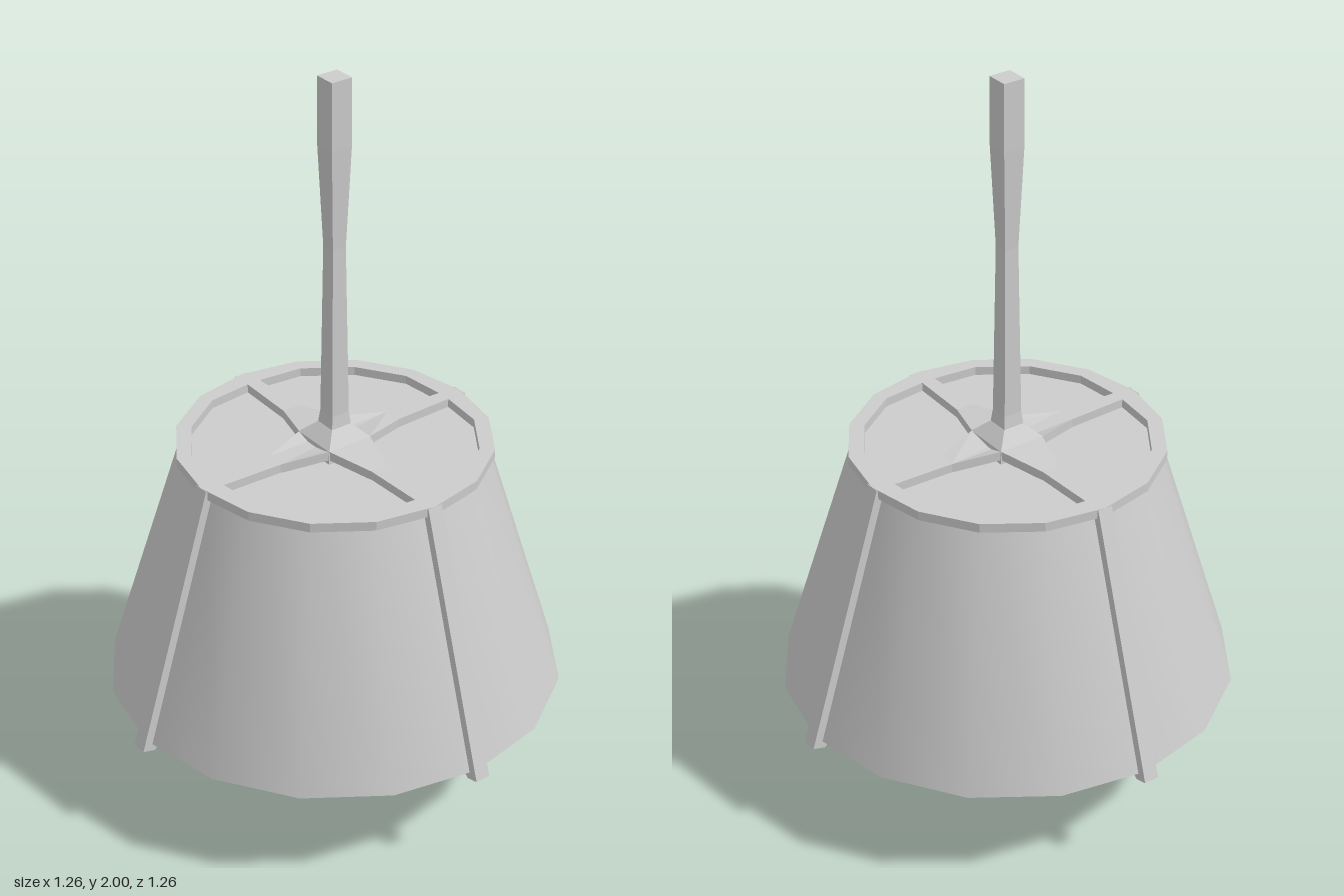
import * as THREE from 'three';
import { toCreasedNormals } from 'three/addons/utils/BufferGeometryUtils.js';

const SIDES = 16;
const smooth = new THREE.MeshStandardMaterial({ color: 0xcccccc });
const flat = new THREE.MeshStandardMaterial({ color: 0xcccccc, flatShading: true });
const vec = ([x, y]) => new THREE.Vector2(x, y);

function part(name, geometry, material) {
  const mesh = new THREE.Mesh(geometry, material);
  mesh.name = name;
  return mesh;
}

function ringPoints(radius, from, to) {
  const points = [];
  for (let i = from; i < to; i++) {
    const a = (i / SIDES) * Math.PI * 2;
    points.push([radius * Math.cos(a), radius * Math.sin(a)]);
  }
  return points;
}

// Rim ring joined to the middle by four flared spokes
function topFrame() {
  const shape = new THREE.Shape(ringPoints(0.415, 0, SIDES).map(vec));
  const quarter = [[0.065, 0.065], [0.19, 0.025], [0.36, 0.02], ...ringPoints(0.375, 1, 4), [0.02, 0.36], [0.025, 0.19]];
  for (let q = 0; q < 4; q++) {
    const turn = (q * Math.PI) / 2;
    shape.holes.push(new THREE.Path(quarter.map((p) => vec(p).rotateAround(new THREE.Vector2(), turn))));
  }
  const geometry = new THREE.ExtrudeGeometry(shape, { depth: 0.025, bevelEnabled: false });
  geometry.rotateX(-Math.PI / 2).translate(0, 0.973, 0);
  // The spokes rise slightly towards the hub
  const pos = geometry.attributes.position;
  for (let i = 0; i < pos.count; i++) {
    if (Math.hypot(pos.getX(i), pos.getZ(i)) < 0.1) pos.setY(i, pos.getY(i) + 0.012);
  }
  return geometry;
}

// Slanted strut, drawn in side profile and given its width
function strutGeometry() {
  const profile = [[0.415, 0.998], [0.37, 0.972], [0.565, 0.305], [0.597, 0.278], [0.632, 0.287]];
  const geometry = new THREE.ExtrudeGeometry(new THREE.Shape(profile.map(vec)), { depth: 0.042, bevelEnabled: false });
  return geometry.translate(0, 0, -0.021);
}

export function createModel() {
  const lamp = new THREE.Group();
  lamp.name = 'hangingLamp';

  // Hollow shade with a closed, slightly sunken top
  const shadeProfile = [[0, 0.945], [0.385, 0.945], [0.587, 0.3], [0.608, 0.3], [0.403, 0.974], [0, 0.974]];
  const shade = new THREE.LatheGeometry(shadeProfile.map(vec), SIDES);
  lamp.add(part('shade', toCreasedNormals(shade, 0.6), smooth));

  lamp.add(part('topFrame', topFrame(), flat));

  // Four struts down the outside of the shade
  const strut = strutGeometry();
  for (let i = 0; i < 4; i++) {
    const mesh = part('strut', strut, flat);
    mesh.rotation.y = (i * Math.PI) / 2;
    lamp.add(mesh);
  }

  // Square hanging rod, waisted in the middle and flared at the foot
  const rodProfile = [[0, 0.97], [0.068, 0.97], [0.066, 1.01], [0.03, 1.045], [0.026, 1.08], [0.02, 1.55], [0.03, 1.82], [0.03, 2], [0, 2]];
  const rod = new THREE.LatheGeometry(rodProfile.map(([r, y]) => vec([r * Math.SQRT2, y])), 4, Math.PI / 4);
  lamp.add(part('rod', rod, flat));

  // Round-ended bulb
  const bulbProfile = [];
  for (let i = 0; i <= 8; i++) {
    const a = (i / 8) * (Math.PI / 2);
    bulbProfile.push([0.25 * Math.sin(a), 0.255 - 0.25 * Math.cos(a)]);
  }
  bulbProfile[0][1] = 0;
  bulbProfile.push([0.25, 0.95]);
  lamp.add(part('bulb', new THREE.LatheGeometry(bulbProfile.map(vec), SIDES), smooth));

  return lamp;
}
